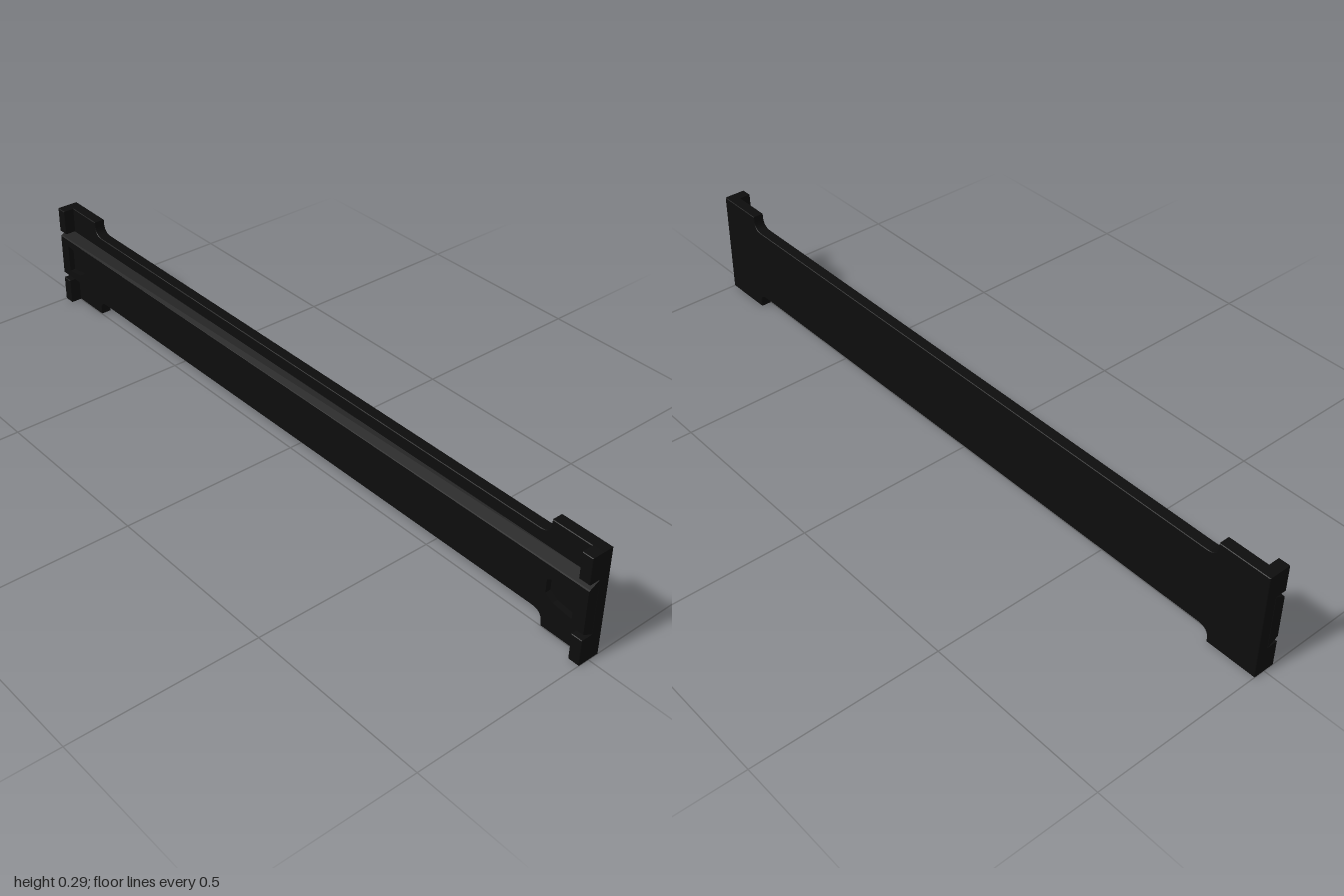
import * as THREE from 'three';

const H = 0.295, MID = H / 2;      // full height and its middle
const BACK = -0.031, FRONT = 0.031, SEAT = 0; // depth of back face, blocks, plate front

const material = new THREE.MeshStandardMaterial({ color: 0x0d0d0d, flatShading: true });

function add(group, name, geometry) {
  const mesh = new THREE.Mesh(geometry, material);
  mesh.name = name;
  group.add(mesh);
  return mesh;
}

// extrude a front outline between two depths, with an optional tiny bevel
function slab(shape, z0, z1, bevel = 0) {
  const geometry = new THREE.ExtrudeGeometry(shape, {
    depth: z1 - z0 - 2 * bevel, curveSegments: 8,
    bevelEnabled: bevel > 0, bevelThickness: bevel, bevelSize: bevel, bevelOffset: -bevel, bevelSegments: 1,
  });
  return geometry.translate(0, 0, z0 + bevel);
}

// plate outline: a long strip with flared ends and filleted inner corners
function plateShape() {
  const half = 0.108, flange = 0.86, r = 0.03;
  const s = new THREE.Shape();
  s.moveTo(-1, 0);
  s.lineTo(-flange, 0);
  s.lineTo(-flange, MID - half - r);
  s.quadraticCurveTo(-flange, MID - half, -flange + r, MID - half);
  s.lineTo(flange - r, MID - half);
  s.quadraticCurveTo(flange, MID - half, flange, MID - half - r);
  s.lineTo(flange, 0);
  s.lineTo(1, 0);
  s.lineTo(1, H);
  s.lineTo(flange, H);
  s.lineTo(flange, MID + half + r);
  s.quadraticCurveTo(flange, MID + half, flange - r, MID + half);
  s.lineTo(-flange + r, MID + half);
  s.quadraticCurveTo(-flange, MID + half, -flange, MID + half + r);
  s.lineTo(-flange, H);
  s.lineTo(-1, H);
  s.closePath();
  return s;
}

// trapezoid pocket near one end, wide side outward
function pocketPoints(side) {
  return [[0.965, -0.04], [0.965, 0.04], [0.91, 0.032], [0.888, 0.018], [0.888, -0.018], [0.91, -0.032]]
    .map(([x, y]) => new THREE.Vector2(side * x, MID + y));
}

export function createModel() {
  const model = new THREE.Group();
  model.name = 'beam';

  add(model, 'backPlate', slab(plateShape(), BACK, SEAT, 0.0015));

  // raised rail with a pocket at each end
  const railTop = 0.059, railFoot = 0.075, railFront = 0.0295;
  const face = new THREE.Shape([[-1, -railTop], [1, -railTop], [1, railTop], [-1, railTop]]
    .map(([x, y]) => new THREE.Vector2(x, MID + y)));
  for (const side of [-1, 1]) face.holes.push(new THREE.Path(pocketPoints(side)));
  add(model, 'raisedRail', slab(face, SEAT, railFront));

  for (const side of [-1, 1]) {
    add(model, 'pocketFloor', slab(new THREE.Shape(pocketPoints(side)), SEAT, 0.014));

    // sloping edge of the rail, running its full length
    const wedge = new THREE.Shape();
    wedge.moveTo(0, side * railTop);
    wedge.lineTo(0, side * railFoot);
    wedge.lineTo(-railFront + 0.003, side * (railTop + 0.002));
    wedge.lineTo(-railFront, side * railTop);
    wedge.closePath();
    const slope = new THREE.ExtrudeGeometry(wedge, { depth: 2, bevelEnabled: false });
    slope.translate(0, 0, -1).rotateY(Math.PI / 2).translate(0, MID, SEAT);
    add(model, 'railSlope', slope);

    // small blocks standing forward at the plate corners
    for (const end of [-1, 1]) {
      const block = new THREE.Shape();
      const inner = MID + side * 0.076, outer = MID + side * MID;
      block.moveTo(end * 0.97, inner);
      block.lineTo(end, inner);
      block.lineTo(end, outer);
      block.lineTo(end * 0.97, outer);
      block.closePath();
      add(model, 'cornerBlock', slab(block, SEAT - 0.004, FRONT, 0.0015));
    }
  }
  return model;
}
